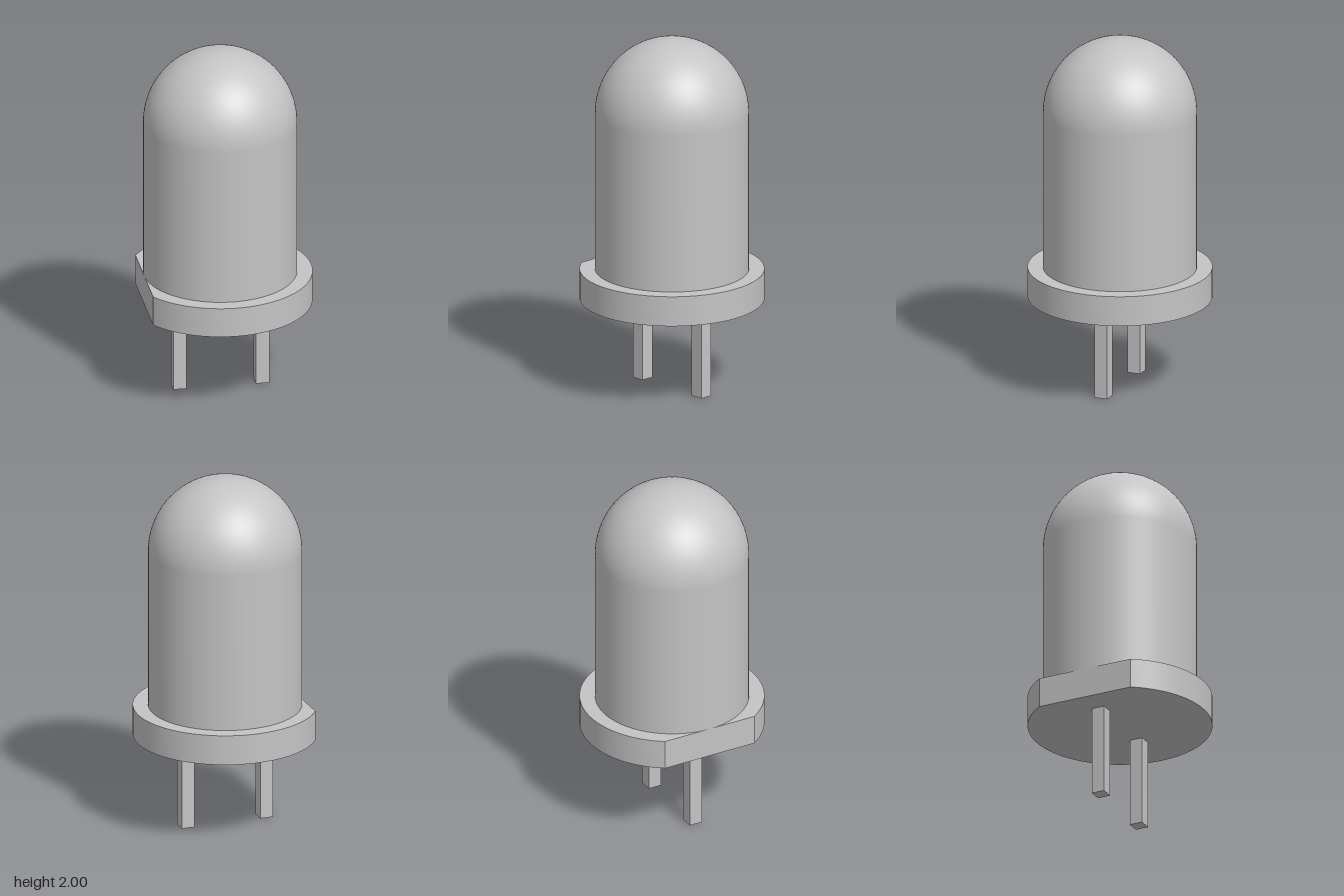
import * as THREE from 'three';
import { toCreasedNormals } from 'three/addons/utils/BufferGeometryUtils.js';

export function createModel() {
  const group = new THREE.Group();
  const grey = new THREE.MeshStandardMaterial({ color: 0xc4c4c4 });
  grey.name = 'grey';

  const axisX = -0.0425; // the round parts share this off-centre axis
  const bodyR = 0.4225, rimR = 0.507;
  const rimBottom = 0.51, rimTop = 0.68;

  const add = (name, geometry, x, y) => {
    const mesh = new THREE.Mesh(geometry, grey);
    mesh.name = name;
    mesh.position.set(x, y, 0);
    group.add(mesh);
  };

  // Domed lens: straight wall running smoothly into a hemisphere
  const domeY = 2 - bodyR;
  const profile = [new THREE.Vector2(bodyR, rimTop)];
  const steps = 24;
  for (let i = 0; i <= steps; i++) {
    const a = (i / steps) * Math.PI / 2;
    profile.push(new THREE.Vector2(i === steps ? 0 : bodyR * Math.cos(a), domeY + bodyR * Math.sin(a)));
  }
  add('lens', new THREE.LatheGeometry(profile, 96), axisX, 0);

  // Base rim: a disc with one side cut flat, level with the lens wall
  const cut = Math.acos(bodyR / rimR);
  const outline = new THREE.Shape();
  outline.absarc(0, 0, rimR, -Math.PI + cut, Math.PI - cut, false);
  outline.closePath();
  const rim = new THREE.ExtrudeGeometry(outline, {
    depth: rimTop - rimBottom, bevelEnabled: false, curveSegments: 48,
  });
  rim.rotateX(-Math.PI / 2);
  add('baseRim', toCreasedNormals(rim, 0.4), axisX, rimBottom);

  // Two square leads
  for (const [name, side] of [['leftLead', 1], ['rightLead', -1]]) {
    add(name, new THREE.BoxGeometry(0.075, rimBottom, 0.075), axisX + side * 0.23, rimBottom / 2);
  }

  return group;
}
